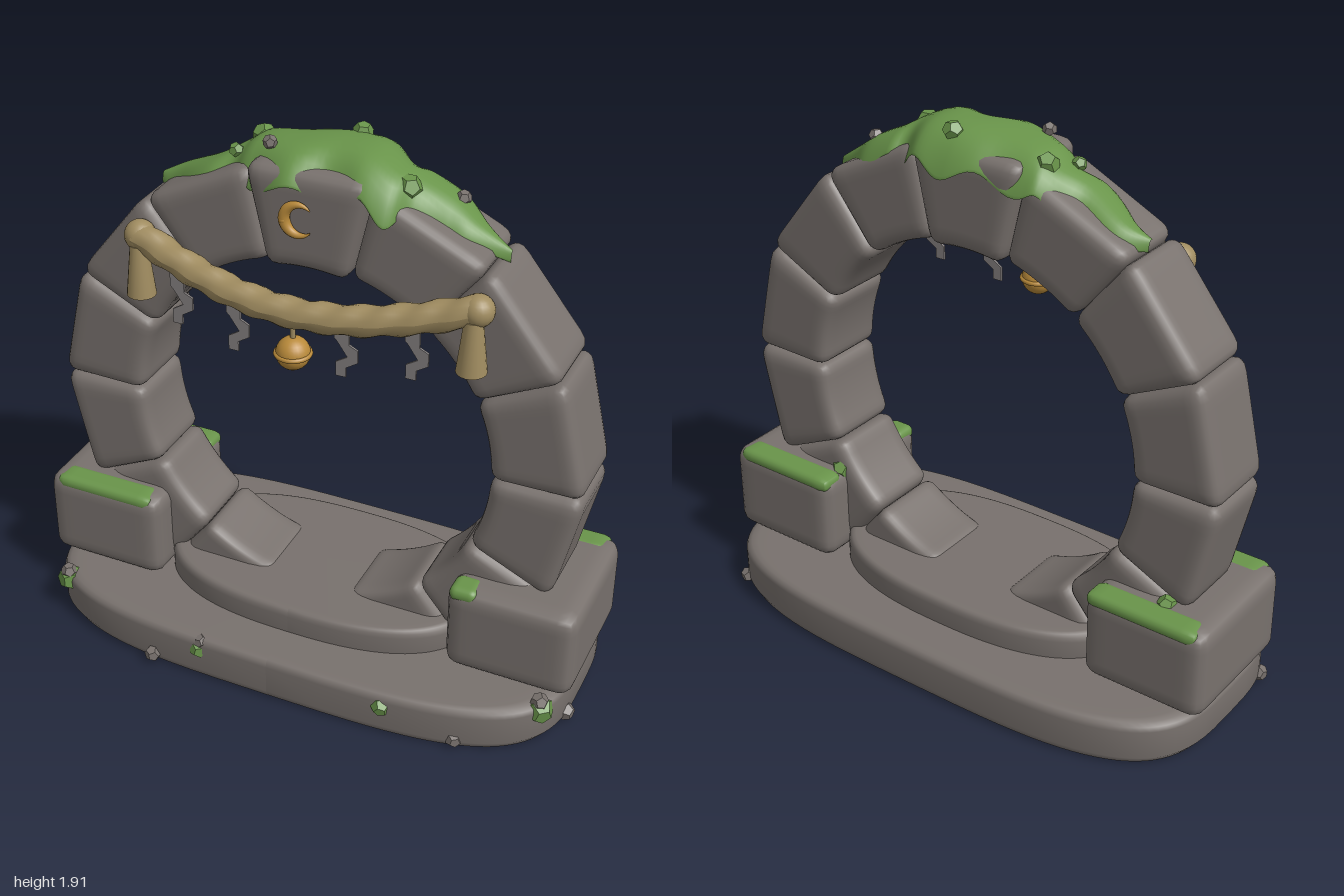
import * as THREE from 'three';
import { mergeVertices } from 'three/addons/utils/BufferGeometryUtils.js';
import { ParametricGeometry } from 'three/addons/geometries/ParametricGeometry.js';

const mat = (name, color, extra = {}) => {
  const m = new THREE.MeshStandardMaterial({ color, ...extra });
  m.name = name;
  return m;
};

// Applies a rule to every vertex and recomputes the normals
function deform(geo, rule) {
  const p = geo.attributes.position, v = new THREE.Vector3();
  for (let i = 0; i < p.count; i++) {
    v.fromBufferAttribute(p, i);
    rule(v);
    p.setXYZ(i, v.x, v.y, v.z);
  }
  geo.computeVertexNormals();
  return geo;
}

// Box with soft edges and a dense, smooth surface
function softBox(w, h, d, r, n = 14) {
  let g = new THREE.BoxGeometry(w, h, d, n, n, n);
  g.deleteAttribute('uv');
  g.deleteAttribute('normal');
  g = mergeVertices(g);
  const core = new THREE.Vector3(w / 2 - r, h / 2 - r, d / 2 - r), c = new THREE.Vector3();
  return deform(g, v => {
    c.copy(v).clamp(core.clone().negate(), core);
    v.sub(c);
    if (v.lengthSq() > 0) v.setLength(r);
    v.add(c);
  });
}

// Slab with a rounded-oblong outline and softened rim
function slab(a, b, n, y0, y1, cz) {
  const e = 0.03;
  const profile = [[0, y0], [0.95, y0], [0.98, y0 + 0.004], [1, y0 + e], [1, y1 - e], [0.993, y1 - 0.014],
    [0.975, y1 - 0.004], [0.95, y1], [0.9, y1], [0, y1]].map(([x, y]) => new THREE.Vector2(x, y));
  const bend = s => Math.sign(s) * Math.abs(s) ** (2 / n);
  return deform(new THREE.LatheGeometry(profile, 96), v => {
    const r = Math.hypot(v.x, v.z);
    if (r < 1e-6) { v.z = cz; return; }
    v.x = a * r * bend(v.x / r);
    v.z = cz + b * r * bend(v.z / r);
  });
}

// Wedge-shaped arch stone with a curved inner face and flat outer face
function archStone(mid, half, rIn, rOut, depth) {
  const w = 0.37, h = 0.31;
  return deform(softBox(w, h, depth, 0.045), v => {
    const a = -v.x / w * 2 * half, t = v.y / h + 0.5;
    const r = THREE.MathUtils.lerp(rIn, rOut * Math.cos(half) / Math.cos(a), t);
    v.x = r * Math.cos(mid + a);
    v.y = 0.88 + r * Math.sin(mid + a);
    v.z -= 0.015;
  });
}

export function createModel() {
  const root = new THREE.Group();
  root.name = 'stoneArch';
  const stone = mat('stone', 0x78716d);
  const moss = mat('moss', 0x69944a);
  const rope = mat('rope', 0xa08c60);
  const gold = mat('gold', 0xb98a3a);
  const paper = mat('paper', 0x858080, { side: THREE.DoubleSide });
  const add = (name, geo, material, x = 0, y = 0, z = 0) => {
    const m = new THREE.Mesh(geo, material);
    m.name = name;
    m.position.set(x, y, z);
    root.add(m);
    return m;
  };

  // Base and step
  add('base', slab(0.975, 0.495, 3.5, 0, 0.165, -0.015), stone);
  add('step', slab(0.58, 0.325, 2.5, 0.13, 0.26, -0.015), stone);

  // Ring of arch stones, the lowest one left out beneath the step
  const pitch = Math.PI / 7;
  for (let i = -6; i <= 6; i++) {
    const key = i === 0, foot = Math.abs(i) === 6;
    add(key ? 'keystone' : 'archStone', archStone(Math.PI / 2 + i * pitch, pitch / 2,
      key ? 0.625 : 0.635, key ? 0.985 : foot ? 0.86 : 0.96, key ? 0.34 : 0.3), stone);
  }

  // Side blocks with moss along their top edges
  for (const s of [-1, 1]) {
    add('sideBlock', softBox(0.45, 0.33, 0.52, 0.05), stone, s * 0.772, 0.328, -0.02);
    add('blockMossBack', softBox(0.41, 0.055, 0.1, 0.026), moss, s * 0.76, 0.468, -0.23);
  }
  add('blockMossFront', softBox(0.38, 0.055, 0.1, 0.026), moss, -0.77, 0.468, 0.187);
  add('blockMossFront', softBox(0.1, 0.055, 0.1, 0.026), moss, 0.605, 0.468, 0.187);

  // Moss cap: stations of x, top height, back edge and front edge
  const stations = [[-0.6, 1.65, -0.05, -0.02], [-0.52, 1.69, -0.11, 0.02], [-0.38, 1.76, -0.11, 0.10],
    [-0.29, 1.81, -0.16, 0.07], [-0.22, 1.855, -0.185, 0.12], [-0.08, 1.88, -0.19, 0.17], [0.05, 1.89, -0.225, 0.14],
    [0.17, 1.885, -0.20, 0.15], [0.27, 1.845, -0.15, 0.17], [0.33, 1.81, -0.15, 0.08], [0.43, 1.76, -0.16, 0.07],
    [0.52, 1.70, -0.08, 0.04], [0.62, 1.63, -0.03, -0.01]];
  const edge = k => new THREE.CatmullRomCurve3(
    stations.map(s => new THREE.Vector3(s[0], s[1], s[k])), false, 'catmullrom', 0.5);
  const back = edge(2), front = edge(3), pb = new THREE.Vector3(), pf = new THREE.Vector3();
  const cap = new ParametricGeometry((u, v, target) => {
    back.getPoint(u, pb);
    front.getPoint(u, pf);
    const a = v * Math.PI * 2, c = Math.cos(a), half = (pf.z - pb.z) / 2;
    const drop = half * 0.55 * Math.abs(c) ** 3 * (1 + 0.25 * Math.sin(u * 40));
    target.set(pb.x, pb.y - 0.015 - drop + 0.022 * Math.sin(a), (pf.z + pb.z) / 2 + half * c);
  }, 72, 32);
  add('mossCap', cap, moss);

  // Small clumps and pebbles: x, y, z, radius
  const bit = (name, material, list) => list.forEach(([x, y, z, r], i) => {
    const g = new THREE.DodecahedronGeometry(r, 0);
    add(name, g, material, x, y, z).rotation.set(i * 0.7, i * 1.3, 0.4);
  });
  bit('mossClump', moss, [[-0.25, 1.83, -0.08, 0.04], [0.07, 1.88, -0.13, 0.035], [0.3, 1.81, 0.04, 0.042],
    [-0.3, 1.81, 0.02, 0.025], [-0.8, 0.485, -0.17, 0.035], [0.58, 0.485, -0.15, 0.04],
    [-0.87, 0.13, 0.33, 0.05], [-0.27, 0.11, 0.46, 0.035], [0.42, 0.11, 0.46, 0.035], [0.91, 0.13, 0.27, 0.05]]);
  bit('pebble', stone, [[-0.16, 1.88, 0.06, 0.024], [0.44, 1.76, -0.06, 0.026], [-0.87, 0.165, 0.34, 0.03],
    [-0.26, 0.145, 0.46, 0.025], [0.91, 0.165, 0.275, 0.032], [-0.95, 0.032, 0.23, 0.03], [-0.45, 0.032, 0.475, 0.03],
    [0.67, 0.032, 0.425, 0.03], [0.965, 0.034, 0.14, 0.033], [0.865, 0.032, -0.38, 0.03]]);

  // Twisted rope sagging between two knots
  const path = new THREE.CatmullRomCurve3([[-0.585, 1.515, 0.165], [-0.4, 1.46, 0.2], [-0.2, 1.42, 0.23],
    [0, 1.405, 0.24], [0.2, 1.42, 0.23], [0.4, 1.46, 0.2], [0.585, 1.515, 0.165]].map(p => new THREE.Vector3(...p)));
  const ropeGeo = new THREE.TubeGeometry(path, 120, 0.05, 16);
  const centre = new THREE.Vector3();
  let n = 0;
  deform(ropeGeo, v => {
    const ring = Math.floor(n / 17), side = n % 17;
    n++;
    path.getPointAt(ring / 120, centre);
    v.sub(centre).multiplyScalar(1 + 0.08 * Math.cos(side / 8 * Math.PI * 2 - ring * 0.5)).add(centre);
  });
  add('rope', ropeGeo, rope);
  for (const s of [-1, 1]) {
    add('ropeKnot', new THREE.SphereGeometry(0.053, 20, 14), rope, s * 0.585, 1.515, 0.165);
    add('tassel', new THREE.CylinderGeometry(0.03, 0.05, 0.18, 16), rope, s * 0.58, 1.4, 0.185);
  }

  // Folded paper streamers
  const zig = [[-0.04, 0.03], [0.01, 0.03], [0.01, -0.06], [0.04, -0.075], [0.04, -0.12], [0, -0.145],
    [0, -0.18], [-0.035, -0.18], [-0.035, -0.13], [0.005, -0.105], [-0.03, -0.055], [-0.04, -0.045]];
  const streamer = new THREE.ExtrudeGeometry(new THREE.Shape(zig.map(p => new THREE.Vector2(...p))),
    { depth: 0.008, bevelEnabled: false });
  for (const [x, y, z] of [[-0.42, 1.42, 0.195], [-0.2, 1.39, 0.225], [0.18, 1.39, 0.225], [0.405, 1.42, 0.195]])
    add('streamer', streamer, paper, x, y, z);

  // Bell on a short cord
  add('bellCord', new THREE.CylinderGeometry(0.009, 0.009, 0.1, 8), rope, 0, 1.35, 0.24);
  add('bell', new THREE.SphereGeometry(0.057, 24, 16), gold, 0, 1.26, 0.24);
  add('bellBand', new THREE.TorusGeometry(0.056, 0.008, 8, 28), gold, 0, 1.26, 0.24).rotation.x = Math.PI / 2;

  // Crescent ornament, thick in the middle and pointed at both tips
  const crescent = new ParametricGeometry((u, v, t) => {
    const a = 0.8 + u * 4.7, b = v * Math.PI * 2, r = 0.002 + 0.017 * Math.sin(u * Math.PI);
    const d = 0.052 + r * Math.cos(b);
    t.set(d * Math.cos(a), d * Math.sin(a), -r * Math.sin(b));
  }, 32, 12);
  const crescentMat = gold.clone();
  crescentMat.side = THREE.DoubleSide;
  add('crescent', crescent, crescentMat, -0.01, 1.69, 0.168);
  add('crescentStud', new THREE.SphereGeometry(0.016, 12, 8), gold, -0.062, 1.685, 0.172);

  return root;
}
